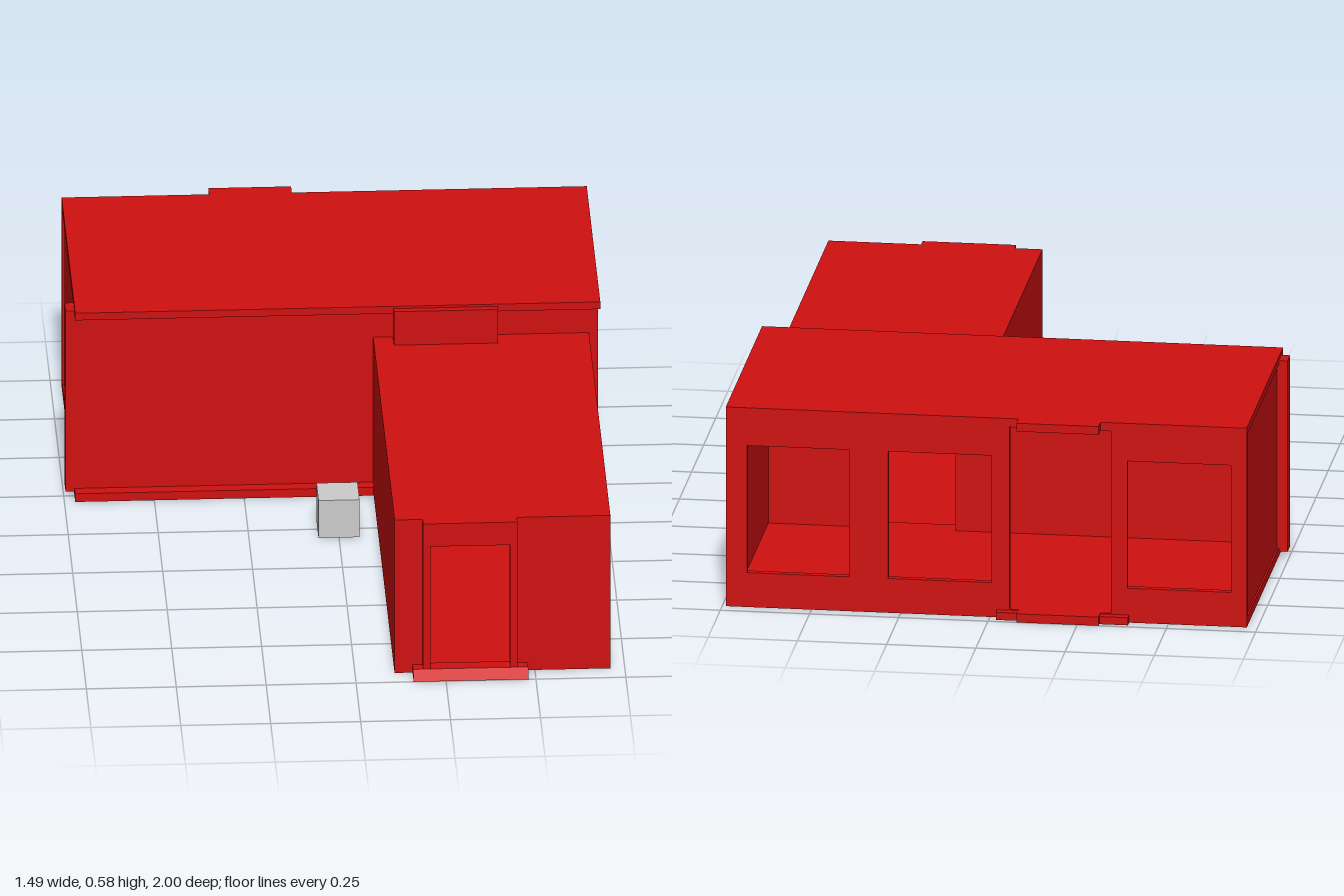
import * as THREE from 'three';

const red = new THREE.MeshStandardMaterial({ color: 0xd01010, flatShading: true });
const grey = new THREE.MeshStandardMaterial({ color: 0xcccccc, flatShading: true });

export function createModel() {
  const model = new THREE.Group();

  function add(name, geometry, material = red) {
    const mesh = new THREE.Mesh(geometry, material);
    mesh.name = name;
    model.add(mesh);
    return mesh;
  }

  // Box given by its extents on each axis
  function box(name, x0, x1, y0, y1, z0, z1, material) {
    const mesh = add(name, new THREE.BoxGeometry(x1 - x0, y1 - y0, z1 - z0), material);
    mesh.position.set((x0 + x1) / 2, (y0 + y1) / 2, (z0 + z1) / 2);
  }

  function rectangle(path, x0, x1, y0, y1) {
    path.moveTo(x0, y0);
    path.lineTo(x1, y0);
    path.lineTo(x1, y1);
    path.lineTo(x0, y1);
    path.closePath();
    return path;
  }

  // Upright wall along x with rectangular openings
  function wall(name, x0, x1, y0, y1, z0, z1, openings) {
    const shape = rectangle(new THREE.Shape(), x0, x1, y0, y1);
    for (const o of openings) shape.holes.push(rectangle(new THREE.Path(), ...o));
    const geometry = new THREE.ExtrudeGeometry(shape, { depth: z1 - z0, bevelEnabled: false });
    add(name, geometry).position.z = z0;
  }

  // Sill that slopes down from the doorway, profile drawn in z and y
  function ramp(name, x0, x1, points) {
    const shape = new THREE.Shape(points.map(([z, y]) => new THREE.Vector2(-z, y)));
    const geometry = new THREE.ExtrudeGeometry(shape, { depth: x1 - x0, bevelEnabled: false });
    geometry.rotateY(Math.PI / 2);
    add(name, geometry).position.x = x0;
  }

  // Main room: floor, roof and end walls
  box('roomFloor', -0.72, 0.74, 0, 0.025, -0.96, -0.21);
  box('roomRoof', -0.72, 0.74, 0.558, 0.58, -0.96, -0.21);
  box('roomEndWall', 0.715, 0.735, 0.02, 0.56, -0.955, -0.245);
  box('roomEndWall', -0.715, -0.695, 0.02, 0.56, -0.955, -0.245);
  box('cornerPost', -0.745, -0.71, 0.015, 0.57, -0.30, -0.247);

  // Back wall: three windows and a full-height doorway
  wall('backWall', -0.72, 0.74, 0.005, 0.575, -0.96, -0.94, [
    [0.395, 0.68, 0.1, 0.47],
    [-0.005, 0.285, 0.1, 0.47],
    [-0.34, -0.055, 0.025, 0.555],
    [-0.675, -0.385, 0.1, 0.47],
  ]);
  box('backDoorLintel', -0.31, -0.08, 0.556, 0.58, -1, -0.95);
  box('backDoorSill', -0.31, -0.08, 0, 0.025, -1, -0.95);
  box('backDoorSill', -0.39, -0.02, 0, 0.022, -0.985, -0.95);

  // Front wall of the room, open towards the hall
  wall('roomFrontWall', -0.72, 0.735, 0.005, 0.57, -0.265, -0.245, [[0.19, 0.45, 0.025, 0.47]]);
  box('innerDoorHeader', 0.165, 0.455, 0.45, 0.573, -0.25, -0.19);

  // Hall
  box('hallFloor', 0.11, 0.71, 0, 0.02, -0.245, 0.94);
  box('hallRoof', 0.11, 0.71, 0.45, 0.47, -0.245, 0.94);
  for (const x of [0.11, 0.69]) box('hallSideWall', x, x + 0.02, 0.01, 0.46, -0.245, 0.935);
  wall('hallFrontWall', 0.11, 0.71, 0.005, 0.468, 0.92, 0.94, [[0.2, 0.435, 0.02, 0.4]]);

  // Front doorway frame and sloping sill
  box('frontDoorLintel', 0.19, 0.45, 0.4, 0.47, 0.93, 0.97);
  for (const x of [0.188, 0.43]) box('frontDoorJamb', x, x + 0.02, 0.02, 0.47, 0.93, 0.97);
  ramp('frontDoorSill', 0.16, 0.48, [[0.93, 0], [1, 0], [0.97, 0.024], [0.93, 0.024]]);

  // Loose cube beside the building
  box('cube', -0.057, 0.057, 0, 0.115, -0.057, 0.057, grey);

  return model;
}
